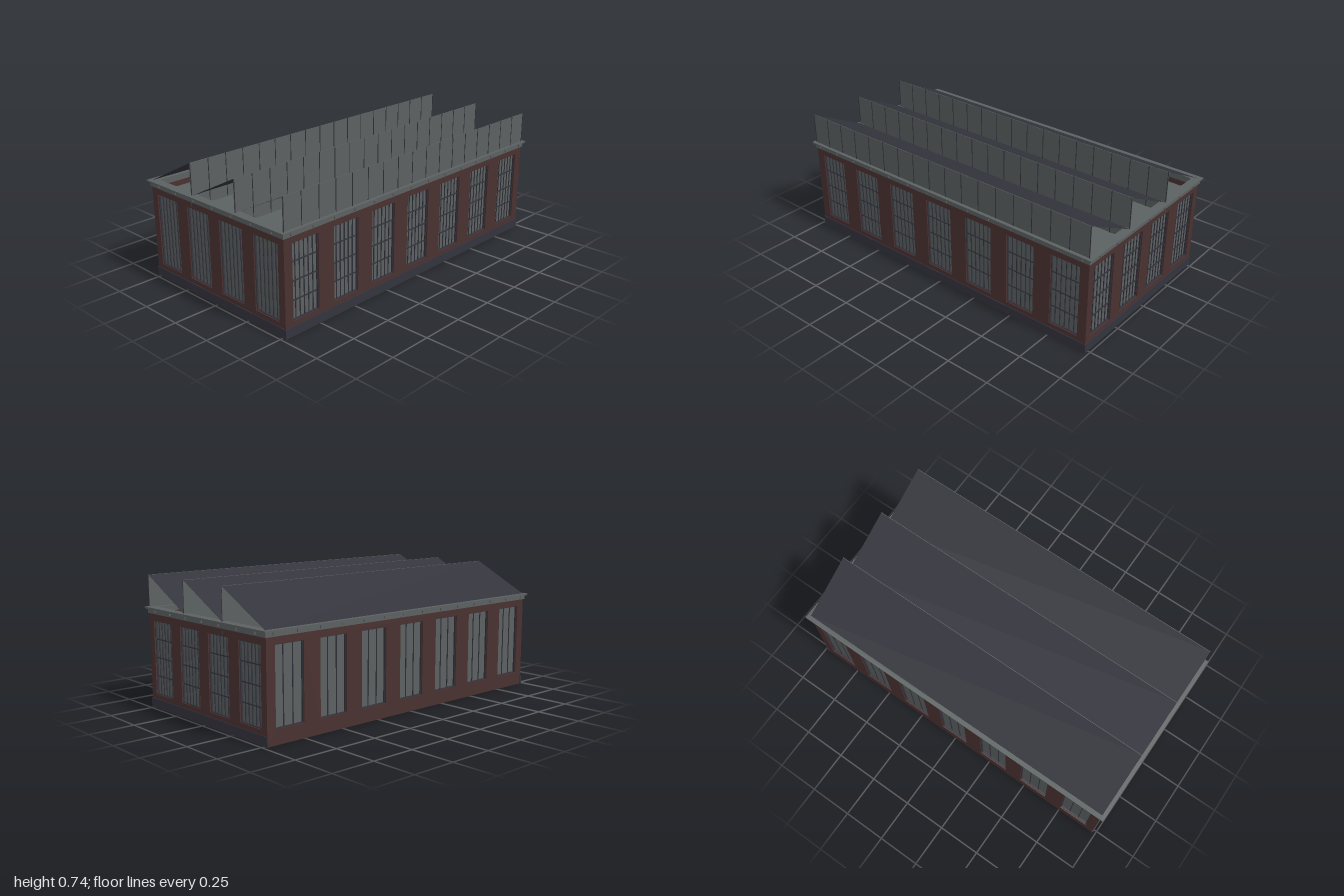
import * as THREE from 'three';

const mat = (name, color, side = THREE.FrontSide) => {
  const m = new THREE.MeshStandardMaterial({ color, side });
  m.name = name;
  return m;
};

const W = 1.96, D = 1.04;          // outer wall footprint
const T = 0.03, WALL_TOP = 0.53;   // wall thickness and height
const PLINTH = 0.052, TOP = 0.56;

export function createModel() {
  const brick = mat('brick', 0x4a3131);
  const grey = mat('slateGrey', 0x5b6060);
  const dark = mat('darkMetal', 0x33333d);
  const roofing = mat('roofing', 0x33333c, THREE.DoubleSide);

  const model = new THREE.Group();
  model.name = 'factoryHall';

  const add = (parent, name, geo, material, x = 0, y = 0, z = 0) => {
    const m = new THREE.Mesh(geo, material);
    m.name = name;
    m.position.set(x, y, z);
    parent.add(m);
    return m;
  };
  const box = (parent, name, material, w, h, d, x, y, z) =>
    add(parent, name, new THREE.BoxGeometry(w, h, d), material, x, y, z);

  // Window opening
  const winW = 0.175, winB = 0.078, winT = 0.488;
  const winH = winT - winB, winMid = (winT + winB) / 2;
  const rect = (Type, x0, y0, x1, y1) => {
    const s = new Type();
    s.moveTo(x0, y0); s.lineTo(x1, y0); s.lineTo(x1, y1); s.lineTo(x0, y1); s.closePath();
    return s;
  };

  // One wall with its windows, built facing +z with its outer face at z = 0
  function wall(name, len, count, cols, rows, plinth) {
    const g = new THREE.Group();
    g.name = name;
    const centres = Array.from({ length: count }, (_, i) => (i - (count - 1) / 2) * len / count);
    const shape = rect(THREE.Shape, -len / 2, 0, len / 2, WALL_TOP);
    for (const c of centres)
      shape.holes.push(rect(THREE.Path, c - winW / 2, winB, c + winW / 2, winT));
    add(g, 'brickWall', new THREE.ExtrudeGeometry(shape, { depth: T, bevelEnabled: false }), brick, 0, 0, -T);

    for (const c of centres) {
      box(g, 'windowGlass', grey, winW, winH, 0.006, c, winMid, -0.02);
      for (const s of [-1, 1]) {
        box(g, 'windowFrameSide', dark, 0.004, winH, 0.012, c + s * (winW / 2 - 0.002), winMid, -0.013);
        box(g, 'windowFrameEnd', dark, winW, 0.004, 0.012, c, winMid + s * (winH / 2 - 0.002), -0.013);
      }
      for (let i = 1; i < cols; i++)
        box(g, 'mullion', dark, 0.004, winH, 0.005, c - winW / 2 + i * winW / cols, winMid, -0.015);
      for (let i = 1; i < rows; i++)
        box(g, 'glazingBar', dark, winW, 0.006, 0.006, c, winB + i * winH / rows, -0.0145);
    }
    if (plinth) box(g, 'plinth', dark, len + 0.008, PLINTH, 0.008, 0, PLINTH / 2, 0);
    model.add(g);
    return g;
  }

  wall('frontWall', W, 7, 6, 4, true).position.z = D / 2;
  const back = wall('backWall', W, 7, 3, 1, false);
  back.position.z = -D / 2;
  back.rotation.y = Math.PI;
  const left = wall('leftWall', D, 4, 6, 4, true);
  left.position.x = W / 2;
  left.rotation.y = Math.PI / 2;
  const right = wall('rightWall', D, 4, 6, 1, true);
  right.position.x = -W / 2;
  right.rotation.y = -Math.PI / 2;

  // Floor and flat deck under the sawtooth roof
  box(model, 'floor', grey, W - 0.03, 0.01, D - 0.03, 0, 0.01, 0);
  box(model, 'roofDeck', grey, W - 0.04, 0.01, D - 0.04, 0, 0.49, 0);

  // Stepped cornice: rectangular rings around the wall top
  const ring = (name, out, y0, y1) => {
    const x = W / 2 + out, z = D / 2 + out;
    const s = rect(THREE.Shape, -x, -z, x, z);
    s.holes.push(rect(THREE.Path, -W / 2 + T, -D / 2 + T, W / 2 - T, D / 2 - T));
    const geo = new THREE.ExtrudeGeometry(s, { depth: y1 - y0, bevelEnabled: false });
    geo.rotateX(-Math.PI / 2);
    add(model, name, geo, grey, 0, y0, 0);
  };
  ring('corniceLower', 0.007, 0.526, 0.548);
  ring('corniceUpper', 0.015, 0.548, 0.553);
  ring('corniceLip', 0.02, 0.553, TOP);

  // Small blocks under the cornice lip
  for (let i = 0; i < 14; i++) {
    const x = (i - 6.5) * 0.145;
    for (const s of [-1, 1])
      box(model, 'corniceBlock', grey, 0.006, 0.014, 0.008, x, 0.541, s * (D / 2 + 0.01));
  }
  for (let i = -3; i <= 3; i++)
    for (const s of [-1, 1])
      box(model, 'corniceBlock', grey, 0.008, 0.014, 0.006, s * (W / 2 + 0.01), 0.541, i * 0.149);

  // Sawtooth roof: upright glazing to the front, slope falling to the back
  const PEAK = 0.735, PITCH = 0.346, PANES = 17;
  for (let k = 0; k < 3; k++) {
    const tooth = new THREE.Group();
    tooth.name = 'roofTooth';
    const z = 0.52 - k * PITCH;
    const base = k === 0 ? TOP : 0.495;
    const h = PEAK - base, mid = (PEAK + base) / 2;
    box(tooth, 'skylightGlass', grey, W, h, 0.003, 0, mid, z - 0.0015);
    for (let i = 0; i <= PANES; i++) {
      const x = -W / 2 + 0.002 + i * (W - 0.004) / PANES;
      box(tooth, 'skylightMullion', dark, 0.004, h, 0.003, x, mid, z + 0.0005);
    }
    const run = PITCH - 0.004, drop = PEAK - TOP;
    const slope = add(tooth, 'roofSlope', new THREE.PlaneGeometry(W, Math.hypot(run, drop)),
      roofing, 0, (PEAK + TOP) / 2, z - run / 2);
    slope.rotation.x = -Math.PI / 2 - Math.atan2(drop, run);
    model.add(tooth);
  }
  return model;
}
